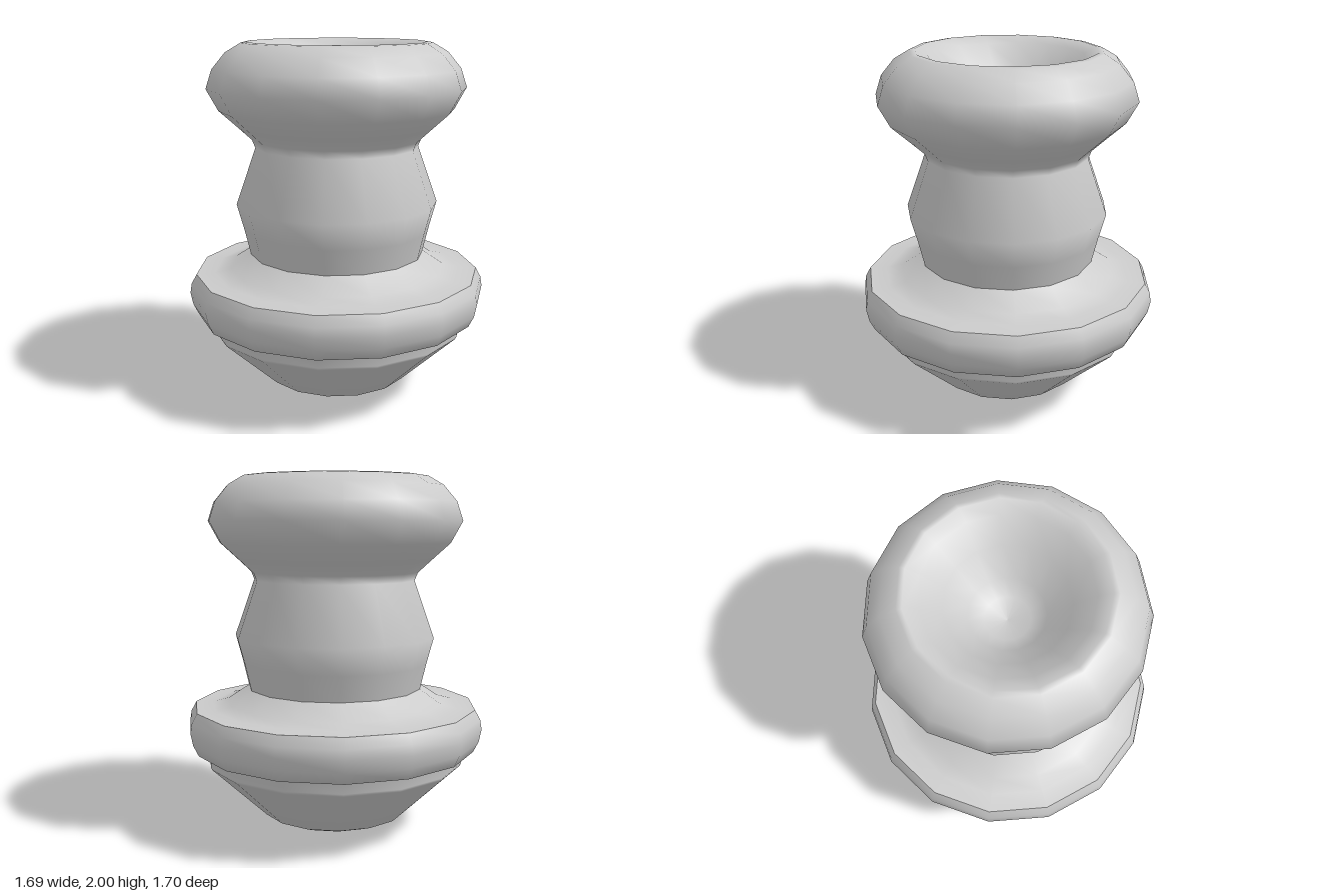
import * as THREE from 'three';

const SIDES = 15;

export function createModel() {
  const group = new THREE.Group();
  const material = new THREE.MeshStandardMaterial({ color: 0xcccccc, side: THREE.DoubleSide });

  // Each part is a 15-sided turned profile of [radius, height], with one corner on +x
  const turn = (name, profile) => {
    const points = profile.map(([r, y]) => new THREE.Vector2(r, y));
    const mesh = new THREE.Mesh(new THREE.LatheGeometry(points, SIDES, Math.PI / 2), material);
    mesh.name = name;
    mesh.position.x = -0.009; // an odd number of sides is centred by its extents
    group.add(mesh);
  };

  // Tapered foot with its stepped collar and rounded outer band
  turn('base', [
    [0, 0.01], [0.03, 0], [0.21, 0.005], [0.32, 0.03], [0.42, 0.07],
    [0.735, 0.37], [0.743, 0.385], [0.743, 0.435], [0.755, 0.447], [0.81, 0.458],
    [0.84, 0.52], [0.854, 0.59], [0.845, 0.645], [0.815, 0.7],
  ]);

  // Ledge rising from the band to the neck
  turn('ledge', [[0.815, 0.7], [0.71, 0.702], [0.62, 0.725], [0.5, 0.805]]);

  // Bulging neck flowing into the rounded head and its hollow
  turn('neckAndHead', [
    [0.5, 0.8], [0.535, 0.95], [0.575, 1.1], [0.462, 1.42],
    [0.48, 1.465], [0.55, 1.53], [0.66, 1.63], [0.725, 1.75],
    [0.69, 1.855], [0.615, 1.945], [0.53, 1.995], [0.5, 2],
    [0.43, 1.965], [0.32, 1.86], [0.2, 1.73], [0.12, 1.67], [0, 1.65],
  ]);

  return group;
}
